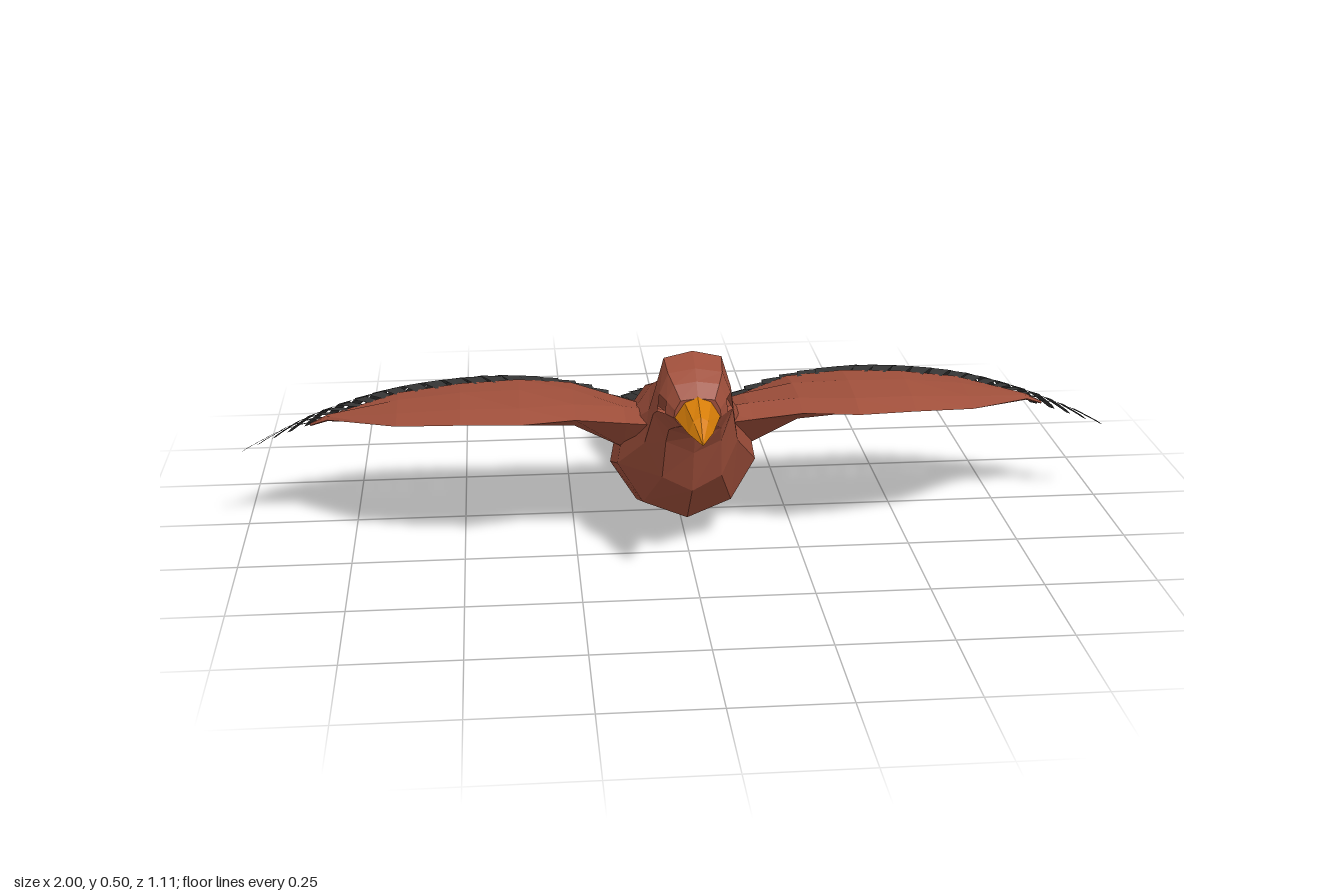
import * as THREE from 'three';
import { mergeGeometries } from 'three/addons/utils/BufferGeometryUtils.js';

const V = (x, y, z) => new THREE.Vector3(x, y, z);
const lerp = THREE.MathUtils.lerp;

function mat(name, color, side = THREE.FrontSide) {
  const m = new THREE.MeshStandardMaterial({ color, flatShading: true, side });
  m.name = name;
  return m;
}

function toGeometry(points) {
  const g = new THREE.BufferGeometry().setFromPoints(points);
  g.computeVertexNormals();
  return g;
}

// Skin over closed rings, capped at both ends; skip(i, j) leaves a panel open
function loft(rings, skip = () => false) {
  const out = [];
  const n = rings[0].length;
  for (let i = 0; i < rings.length - 1; i++) {
    for (let j = 0; j < n; j++) {
      if (skip(i, j)) continue;
      const k = (j + 1) % n;
      const [a, b, c, d] = [rings[i][j], rings[i][k], rings[i + 1][k], rings[i + 1][j]];
      out.push(a, b, c, a, c, d);
    }
  }
  const first = rings[0], last = rings[rings.length - 1];
  for (let j = 1; j < n - 1; j++) {
    out.push(first[0], first[j + 1], first[j], last[0], last[j], last[j + 1]);
  }
  return toGeometry(out);
}

// Half outlines, mirrored: [share of width, share of the way down]
const mirrored = half => [...half, ...half.slice(1, -1).reverse().map(([x, t]) => [-x, t])];
const HEAD = mirrored([[0, 0], [0.72, 0.06], [0.95, 0.36], [1, 0.6], [0.7, 0.88], [0, 1]]);
const TRUNK = mirrored([[0, 0], [0.5, 0.06], [0.9, 0.34], [1, 0.6], [0.64, 0.88], [0, 1]]);
const UPPER_BEAK = mirrored([[0, 0], [0.6, 0.25], [1, 1], [0, 1]]);
const LOWER_BEAK = mirrored([[0, 0], [1, 0], [0.6, 0.75], [0, 1]]);

// Ring from its top and bottom points and half width
const ring = ([zTop, yTop, zBottom, yBottom, w], outline) =>
  outline.map(([x, t]) => V(x * w, lerp(yTop, yBottom, t), lerp(zTop, zBottom, t)));

// One flat tapered feather, bowed along its length and tilted to follow "across"
function feather(base, tip, across, halfWidth, bow, tipWidth) {
  const dir = tip.clone().sub(base).normalize();
  const side = across.clone().addScaledVector(dir, -across.dot(dir)).normalize();
  const rows = [[0, 0.7], [0.3, 0.9], [0.6, 1], [0.9, lerp(tipWidth, 1, 0.6)], [1, tipWidth]].map(([t, w]) => {
    const p = base.clone().lerp(tip, t);
    p.y += bow * Math.sin(Math.PI * t);
    return [-1, 1].map(s => p.clone().addScaledVector(side, s * w * halfWidth));
  });
  const out = [];
  for (let k = 0; k < rows.length - 1; k++) {
    const [[l, r], [l2, r2]] = [rows[k], rows[k + 1]];
    out.push(l, r, r2, l, r2, l2);
  }
  return toGeometry(out);
}

// Wing stations: x, leading z and y, trailing z and y, height above, depth below
const WING = [
  [0.05, 0.31, 0.325, -0.11, 0.2, 0.03, 0.11],
  [0.14, 0.272, 0.32, -0.06, 0.26, 0.025, 0.075],
  [0.25, 0.27, 0.33, -0.003, 0.325, 0.014, 0.04],
  [0.37, 0.305, 0.335, 0.055, 0.355, 0.012, 0.027],
  [0.5, 0.28, 0.33, 0.068, 0.354, 0.012, 0.022],
  [0.64, 0.225, 0.312, 0.043, 0.328, 0.01, 0.016],
  [0.8, 0.085, 0.282, 0.055, 0.283, 0.006, 0.006],
  [0.84, 0.066, 0.264, 0.056, 0.264, 0.003, 0.003],
];

function wingGeometry(s) {
  return loft(WING.map(([x, zl, yl, zt, yt, up, down]) => {
    const at = (t, dy) => V(s * x, lerp(yl, yt, t) + dy, lerp(zl, zt, t));
    const r = [at(0.65, up), at(0.25, up), at(0, 0), at(0.3, -down), at(0.66, -down), at(1, 0)];
    return s > 0 ? r : r.reverse();
  }));
}

// Feather roots lie just inside the trailing edge of the coverts
const curve = pts => new THREE.CatmullRomCurve3(pts.map(p => V(...p)));
const FEATHER_BASE = curve([
  [0.07, 0.21, -0.09], [0.2, 0.298, -0.018], [0.33, 0.345, 0.045],
  [0.47, 0.353, 0.076], [0.63, 0.328, 0.053], [0.74, 0.3, 0.058], [0.81, 0.276, 0.066],
]);
const FEATHER_TIP = curve([
  [0.085, 0.205, -0.152], [0.22, 0.25, -0.122], [0.38, 0.268, -0.11],
  [0.56, 0.262, -0.12], [0.72, 0.24, -0.11], [0.88, 0.212, -0.058], [1, 0.19, 0.02],
]);

function wingFeathers(s) {
  const count = 22;
  const list = [];
  for (let i = 0; i < count; i++) {
    const t = i / (count - 1);
    const base = FEATHER_BASE.getPoint(t), tip = FEATHER_TIP.getPoint(t);
    const across = FEATHER_TIP.getTangent(t);
    base.x *= s;
    tip.x *= s;
    across.y *= s;
    across.z *= s;
    const bow = 0.03 * Math.sin(Math.PI * lerp(0.1, 0.85, t));
    list.push(feather(base, tip, across, lerp(0.031, 0.011, t * t), bow, lerp(0.95, 0.4, t * t)));
  }
  return mergeGeometries(list);
}

// Tail fan, arched so the outer feathers hang lower
function tailFeathers() {
  const list = [];
  for (let i = -6; i <= 6; i++) {
    const u = i / 6, a = Math.abs(u);
    const base = V(u * 0.06, 0.174 - 0.012 * a * a, -0.1);
    const tip = V(u * 0.14, 0.121 - 0.003 * a * a, -0.555 + 0.118 * a ** 1.7);
    list.push(feather(base, tip, V(1, -0.38 * u, 0), 0.018, 0.034 - 0.016 * a * a, 0.75));
  }
  return mergeGeometries(list);
}

const tube = (pts, r) => new THREE.TubeGeometry(curve(pts), 6, r, 5);

export function createModel() {
  const model = new THREE.Group();
  model.name = 'bird';
  const plumage = mat('russet plumage', 0x9f4f3b, THREE.DoubleSide);
  const dark = mat('charcoal feathers', 0x363636, THREE.DoubleSide);
  const orange = mat('orange beak', 0xd67d08);
  const tan = mat('tan legs', 0x9a8a76);

  const add = (name, geometry, material, parent = model) => {
    const mesh = new THREE.Mesh(geometry, material);
    mesh.name = name;
    parent.add(mesh);
    return mesh;
  };

  // Head and body in one skin, with an open eye socket on each side
  const bodyRings = [
    [0.44, 0.432, 0.432, 0.36, 0.05],
    [0.412, 0.46, 0.412, 0.345, 0.067],
    [0.382, 0.479, 0.382, 0.325, 0.08],
    [0.32, 0.498, 0.36, 0.28, 0.086],
    [0.255, 0.44, 0.325, 0.178, 0.102],
    [0.155, 0.388, 0.21, 0.068, 0.155],
    [0.06, 0.355, 0.083, 0.024, 0.165],
    [-0.03, 0.295, -0.01, 0.035, 0.147],
    [-0.1, 0.225, -0.095, 0.08, 0.098],
    [-0.125, 0.188, -0.145, 0.14, 0.05],
  ].map((spec, i) => ring(spec, i < 4 ? HEAD : TRUNK));
  add('body', loft(bodyRings, (i, j) => i === 1 && (j === 2 || j === 7)), plumage);

  // Beak halves, meeting along a flat seam
  add('upperBeak', loft([
    [0.55, 0.373, 0.55, 0.369, 0.002],
    [0.5, 0.412, 0.505, 0.378, 0.026],
    [0.432, 0.437, 0.432, 0.39, 0.049],
  ].map(spec => ring(spec, UPPER_BEAK))), orange);
  add('lowerBeak', loft([
    [0.518, 0.381, 0.515, 0.374, 0.012],
    [0.48, 0.384, 0.475, 0.365, 0.031],
    [0.428, 0.391, 0.428, 0.355, 0.046],
  ].map(spec => ring(spec, LOWER_BEAK))), orange);

  add('tailFeathers', tailFeathers(), dark);

  for (const s of [1, -1]) {
    const label = s > 0 ? 'left' : 'right';

    // Wing: solid inner part and a fan of flight feathers
    const wing = new THREE.Group();
    wing.name = label + 'Wing';
    add(label + 'WingCoverts', wingGeometry(s), plumage, wing);
    add(label + 'FlightFeathers', wingFeathers(s), dark, wing);
    model.add(wing);

    // Leg swept back, with toes curling up into claws
    const leg = new THREE.Group();
    leg.name = label + 'Leg';
    add(label + 'Shank', tube([[0, 0.055, 0.02], [0, 0.028, -0.01], [0, 0.012, -0.06]], 0.008), tan, leg);
    for (const k of [-1, 0, 1]) {
      const x = k * 0.018;
      add(label + 'Toe', tube([[0, 0.013, -0.055], [x * 0.7, 0.008, -0.08], [x, 0.016, -0.108]], 0.005), tan, leg);
      const claw = add(label + 'Claw', new THREE.ConeGeometry(0.005, 0.03, 5), tan, leg);
      claw.position.set(x, 0.026, -0.116);
      claw.rotation.x = -0.5;
    }
    add(label + 'HindToe', tube([[0, 0.012, -0.055], [0, 0.006, -0.068], [0, 0.022, -0.082]], 0.004), tan, leg);
    leg.position.x = s * 0.06;
    model.add(leg);
  }
  return model;
}
